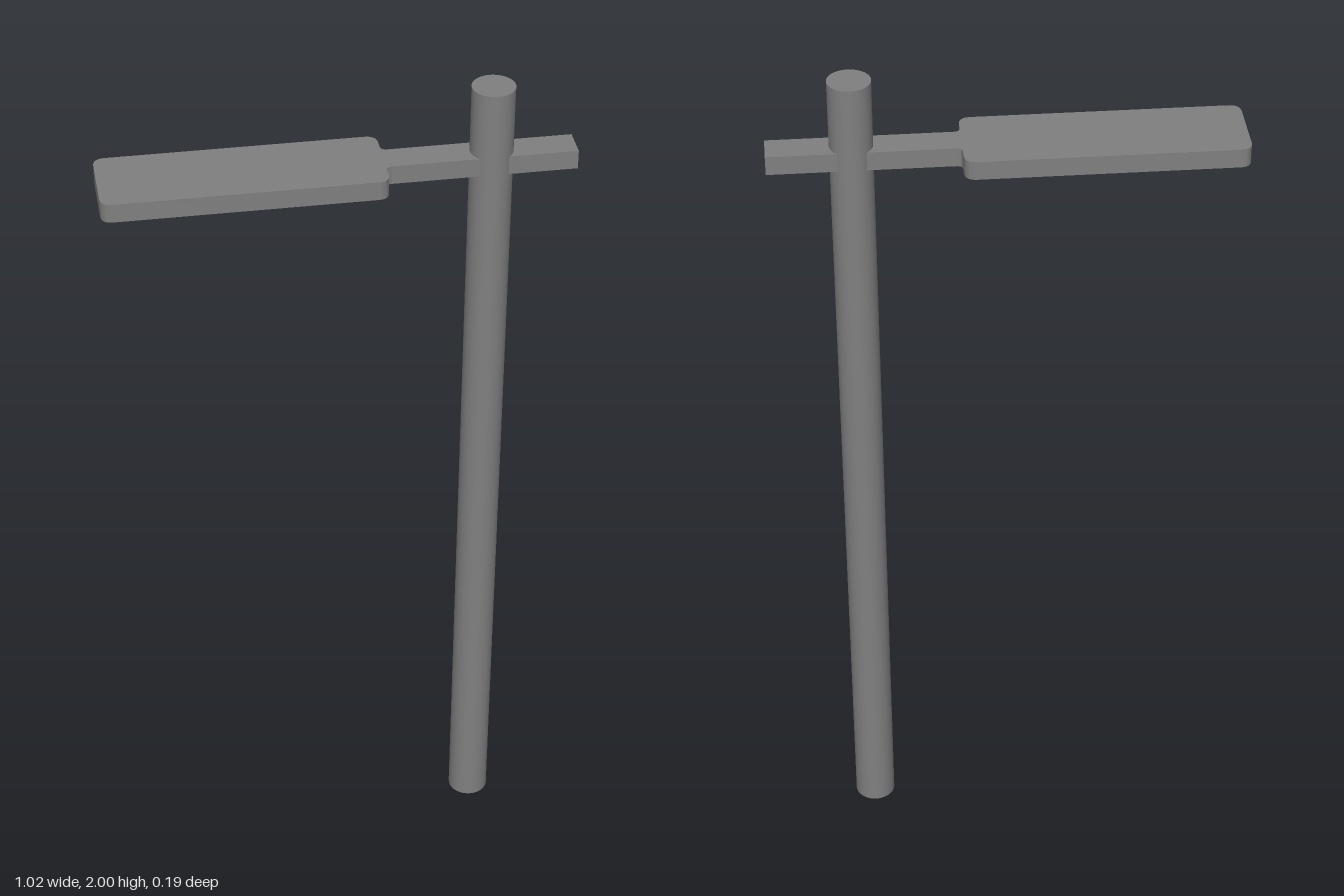
import * as THREE from 'three';
import { toCreasedNormals } from 'three/addons/utils/BufferGeometryUtils.js';

const ARM_Y = 1.803, ARM_H = 0.043;

// Outline of the lamp head and its arm, seen from above
function headOutline() {
  const left = -0.512, neck = 0.097, right = 0.512;
  const w = 0.094, a = 0.035, r = 0.027, f = 0.014;
  const s = new THREE.Shape();
  s.moveTo(left + r, -w);
  s.lineTo(neck - r, -w);
  s.quadraticCurveTo(neck, -w, neck, -w + r);
  s.lineTo(neck, -a - f);
  s.quadraticCurveTo(neck, -a, neck + f, -a);
  s.lineTo(right, -a);
  s.lineTo(right, a);
  s.lineTo(neck + f, a);
  s.quadraticCurveTo(neck, a, neck, a + f);
  s.lineTo(neck, w - r);
  s.quadraticCurveTo(neck, w, neck - r, w);
  s.lineTo(left + r, w);
  s.quadraticCurveTo(left, w, left, w - r);
  s.lineTo(left, -w + r);
  s.quadraticCurveTo(left, -w, left + r, -w);
  return s;
}

export function createModel() {
  const group = new THREE.Group();
  group.name = 'streetLamp';
  const metal = new THREE.MeshStandardMaterial({ color: 0x808080 });
  metal.name = 'grey metal';
  const glass = new THREE.MeshStandardMaterial({ color: 0xb0b0b0 });
  glass.name = 'pale lamp glass';

  function add(name, geometry, material, x, y, z) {
    const mesh = new THREE.Mesh(geometry, material);
    mesh.name = name;
    mesh.position.set(x, y, z);
    group.add(mesh);
  }

  // Upright pole
  add('pole', new THREE.CylinderGeometry(0.047, 0.047, 2, 40), metal, 0.33, 1, 0);

  // Flat lamp head and arm in one piece
  const head = new THREE.ExtrudeGeometry(headOutline(), { depth: ARM_H, bevelEnabled: false, curveSegments: 8 });
  head.rotateX(-Math.PI / 2);
  add('lampHeadAndArm', toCreasedNormals(head, 0.6), metal, 0, ARM_Y, 0);

  // Light panel on the underside
  add('lightPanel', new THREE.BoxGeometry(0.41, 0.004, 0.164), glass, -0.285, ARM_Y, 0);

  return group;
}
